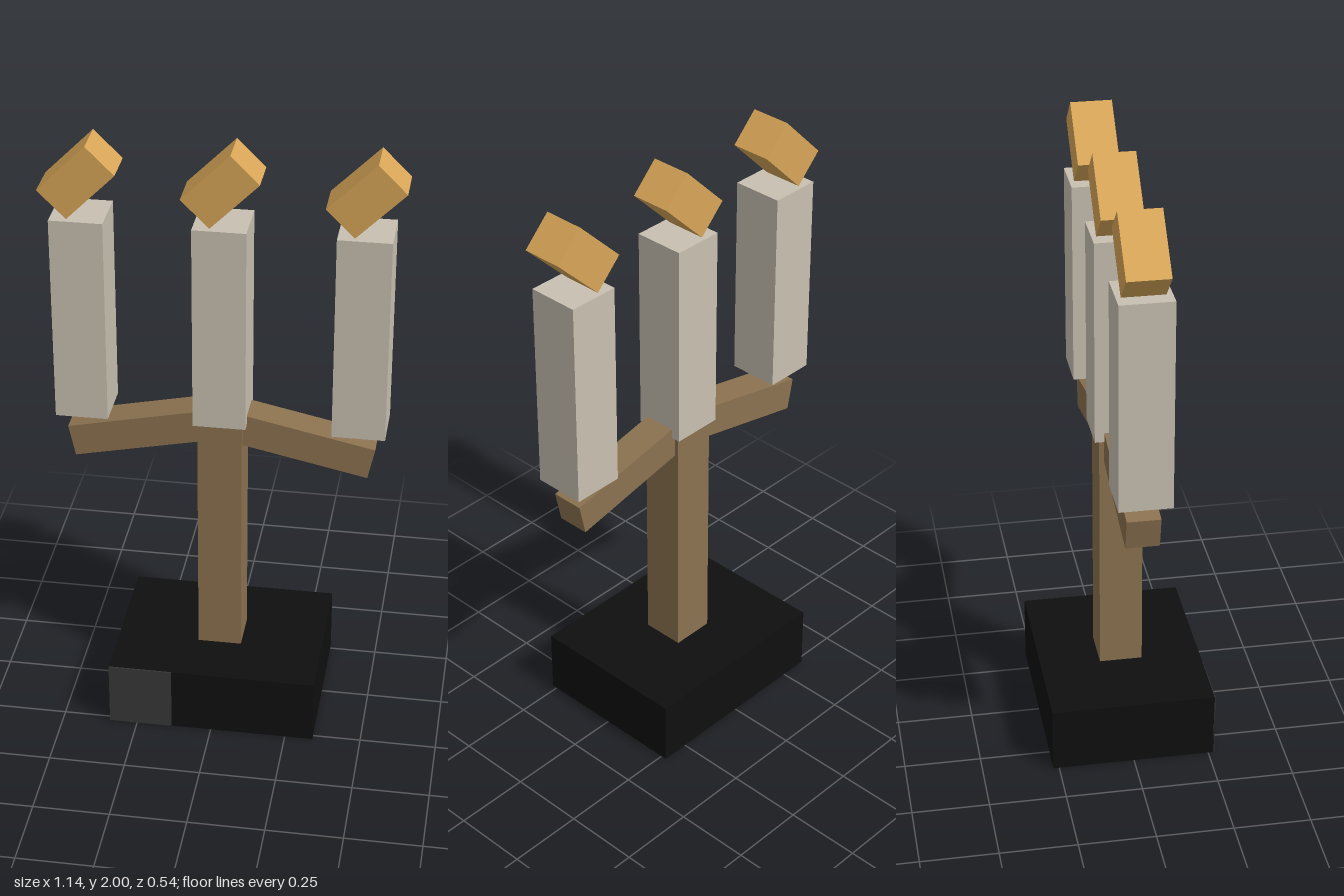
import * as THREE from 'three';

const material = (name, color) => {
  const m = new THREE.MeshStandardMaterial({ color });
  m.name = name;
  return m;
};

export function createModel() {
  const group = new THREE.Group();
  const black = material('black', 0x0f0f0f);
  const grey = material('darkGrey', 0x383838);
  const wood = material('brownWood', 0x8b7250);
  const wax = material('paleWax', 0xc8c0b1);
  const flame = material('amberFlame', 0xd8a658);

  // Box given by its size and centre, turned about z
  const box = (name, mat, [w, h, d], [x, y, z], turn = 0) => {
    const mesh = new THREE.Mesh(new THREE.BoxGeometry(w, h, d), mat);
    mesh.name = name;
    mesh.position.set(x, y, z);
    mesh.rotation.z = turn;
    group.add(mesh);
  };

  // Base with a grey panel at one end of its front
  box('base', black, [0.685, 0.22, 0.538], [0, 0.11, 0]);
  box('basePanel', grey, [0.21, 0.22, 0.004], [-0.2375, 0.11, 0.2685]);

  // Upright post
  box('post', wood, [0.144, 0.86, 0.142], [0, 0.64, 0.002]);

  // Drooping arms, their inner ends hidden in the post
  const droop = THREE.MathUtils.degToRad(12);
  for (const side of [-1, 1]) {
    const name = side > 0 ? 'leftArm' : 'rightArm';
    box(name, wood, [0.46, 0.108, 0.108], [side * 0.262, 1.004, 0], -side * droop);
  }

  // Three candles, each with a tilted flame block
  [['right', -0.445], ['middle', 0], ['left', 0.445]].forEach(([place, x]) => {
    box(place + 'Candle', wax, [0.17, 0.69, 0.17], [x, 1.41, 0]);
    box(place + 'Flame', flame, [0.219, 0.128, 0.135], [x, 1.877, -0.002], Math.PI / 4);
  });

  return group;
}
